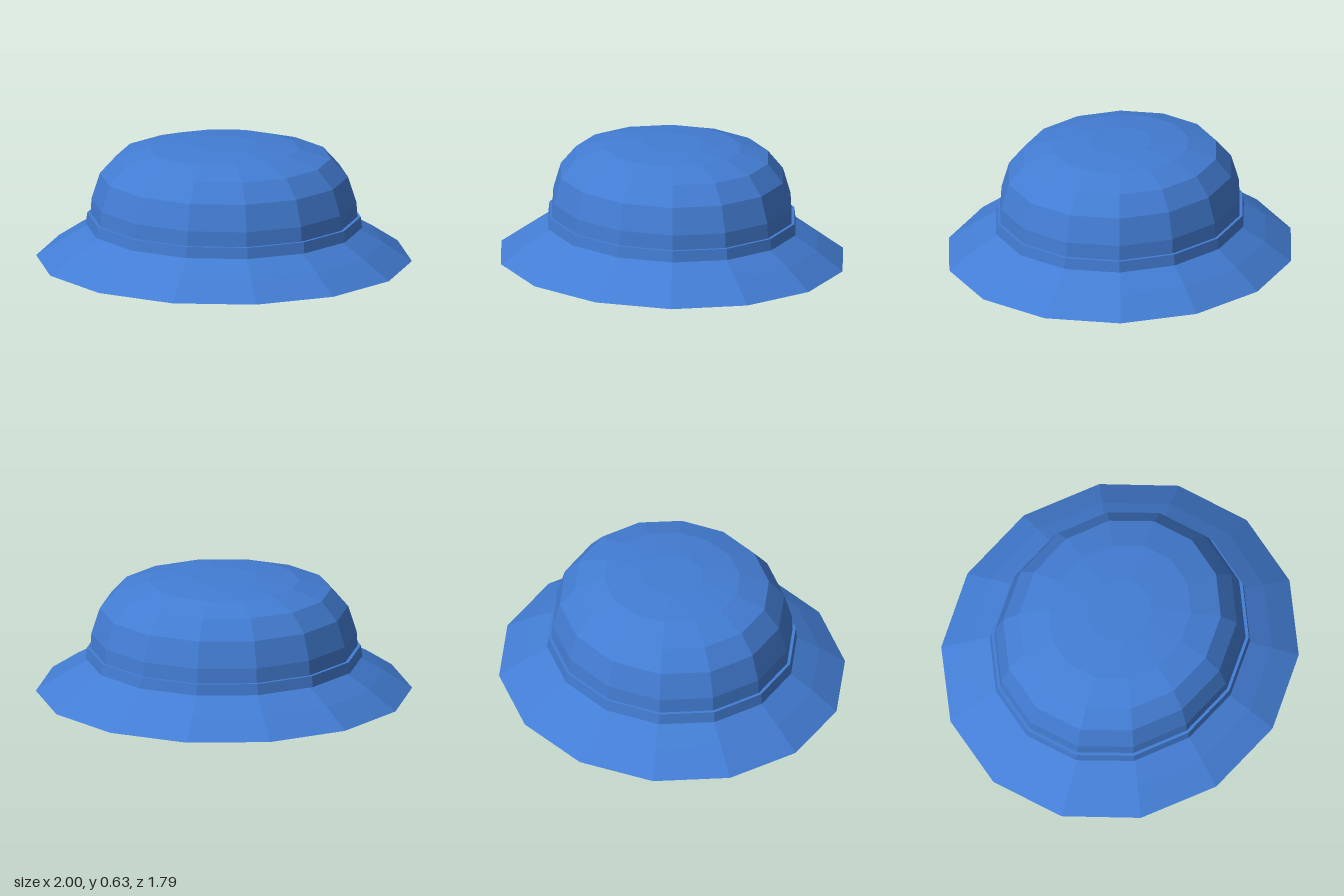
import * as THREE from 'three';

const SIDES = 14;

export function createModel() {
  const hat = new THREE.Group();
  hat.name = 'hat';

  const cloth = new THREE.MeshStandardMaterial({
    color: 0x437dd4, flatShading: true, side: THREE.DoubleSide,
  });

  // Revolves a [radius, height] profile into a faceted, slightly oval ring
  function addRing(name, profile, depth) {
    const points = profile.map(([r, y]) => new THREE.Vector2(r, y));
    const geometry = new THREE.LatheGeometry(points, SIDES, Math.PI / 2);
    geometry.scale(1, 1, depth);
    const mesh = new THREE.Mesh(geometry, cloth);
    mesh.name = name;
    hat.add(mesh);
  }

  // Sloping brim, a thin open skirt
  addRing('brim', [[1, 0], [0.85, 0.1], [0.71, 0.18]], 0.917);

  // Domed crown, hollow and open below
  addRing('crown', [
    [0.71, 0.18], [0.71, 0.24], [0.705, 0.32], [0.66, 0.46],
    [0.57, 0.56], [0.4, 0.61], [0.18, 0.63], [0, 0.63],
  ], 0.9);

  // Raised band around the foot of the crown
  addRing('band', [
    [0.7, 0.18], [0.735, 0.18], [0.728, 0.24], [0.7, 0.24],
  ], 0.9);

  return hat;
}
